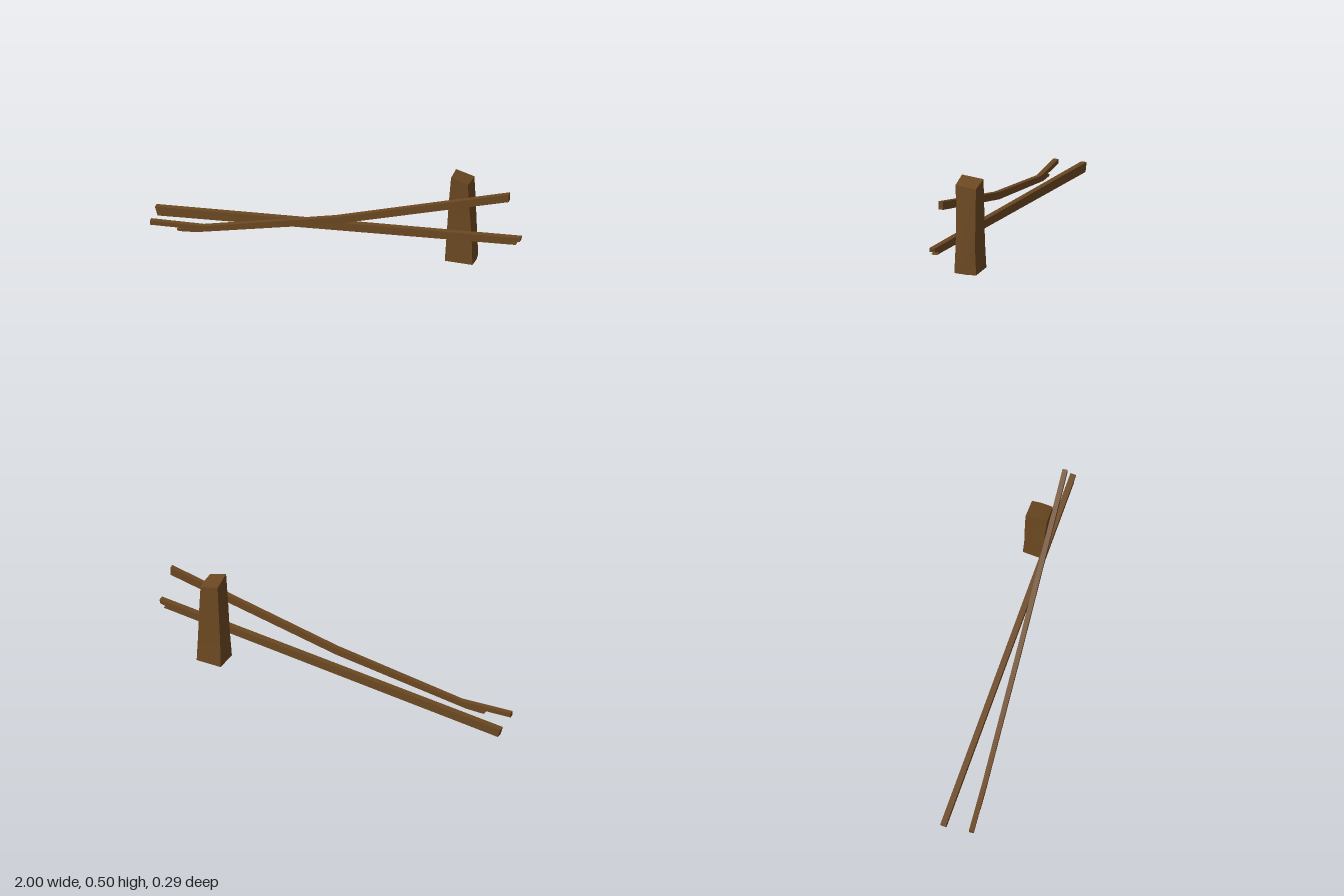
import * as THREE from 'three';
import { toCreasedNormals } from 'three/addons/utils/BufferGeometryUtils.js';

// Rail with a splintered outline, extruded across its thickness
function rail(name, outline, thickness, material) {
  const shape = new THREE.Shape(outline.map(([x, y]) => new THREE.Vector2(x, y)));
  const geometry = new THREE.ExtrudeGeometry(shape, { depth: thickness, bevelEnabled: false });
  geometry.translate(0, 0, -thickness / 2);
  const mesh = new THREE.Mesh(toCreasedNormals(geometry, 0.3), material);
  mesh.name = name;
  return mesh;
}

// Closed solid through matching rings of [x, y, z], listed bottom to top
function loft(rings) {
  const n = rings[0].length;
  const index = [];
  for (let r = 0; r < rings.length - 1; r++) {
    for (let i = 0; i < n; i++) {
      const a = r * n + i, b = r * n + (i + 1) % n;
      index.push(a, b, b + n, a, b + n, a + n);
    }
  }
  const top = (rings.length - 1) * n;
  for (let i = 1; i < n - 1; i++) {
    index.push(0, i + 1, i, top, top + i, top + i + 1);
  }
  const geometry = new THREE.BufferGeometry();
  geometry.setAttribute('position', new THREE.Float32BufferAttribute(rings.flat(2), 3));
  geometry.setIndex(index);
  return toCreasedNormals(geometry.toNonIndexed(), 0.5);
}

export function createModel() {
  const group = new THREE.Group();
  group.name = 'brokenFence';
  const wood = new THREE.MeshStandardMaterial({ color: 0x6b4821 });
  wood.name = 'weathered wood';

  // Tapering post with a sloping cut top; corners run front left to back left
  const post = new THREE.Mesh(loft([
    [[0.58, 0, -0.021], [0.73, 0, -0.025], [0.732, 0, -0.09], [0.722, 0, -0.145], [0.582, 0, -0.143]],
    [[0.587, 0.15, -0.03], [0.724, 0.15, -0.03], [0.73, 0.15, -0.09], [0.718, 0.15, -0.137], [0.588, 0.15, -0.137]],
    [[0.6, 0.35, -0.027], [0.712, 0.35, -0.027], [0.716, 0.35, -0.09], [0.71, 0.35, -0.137], [0.597, 0.35, -0.137]],
    [[0.615, 0.505, -0.019], [0.706, 0.477, -0.022], [0.708, 0.472, -0.09], [0.704, 0.467, -0.136], [0.604, 0.492, -0.136]],
  ]), wood);
  post.name = 'post';
  group.add(post);

  // Straight rail leaning on the post, split at its upper end
  const lower = rail('straightRail', [
    [-0.985, 0], [0.975, 0.178], [0.95, 0.187], [0.997, 0.2], [1, 0.222], [-1, 0.05],
  ], 0.03, wood);
  lower.position.z = -0.015;
  group.add(lower);

  // Sagging rail crossing in front, with a long splinter at its fallen end
  const upper = rail('saggingRail', [
    [-0.83, 0.009], [-0.735, 0.015], [0, 0.16], [0.932, 0.415], [0.932, 0.46],
    [0, 0.2], [-0.7, 0.055], [-0.983, 0.052], [-0.983, 0.027], [-0.8, 0.03], [-0.84, 0.018],
  ], 0.026, wood);
  upper.rotation.y = 0.0885;
  upper.position.z = 0.048;
  group.add(upper);

  return group;
}
